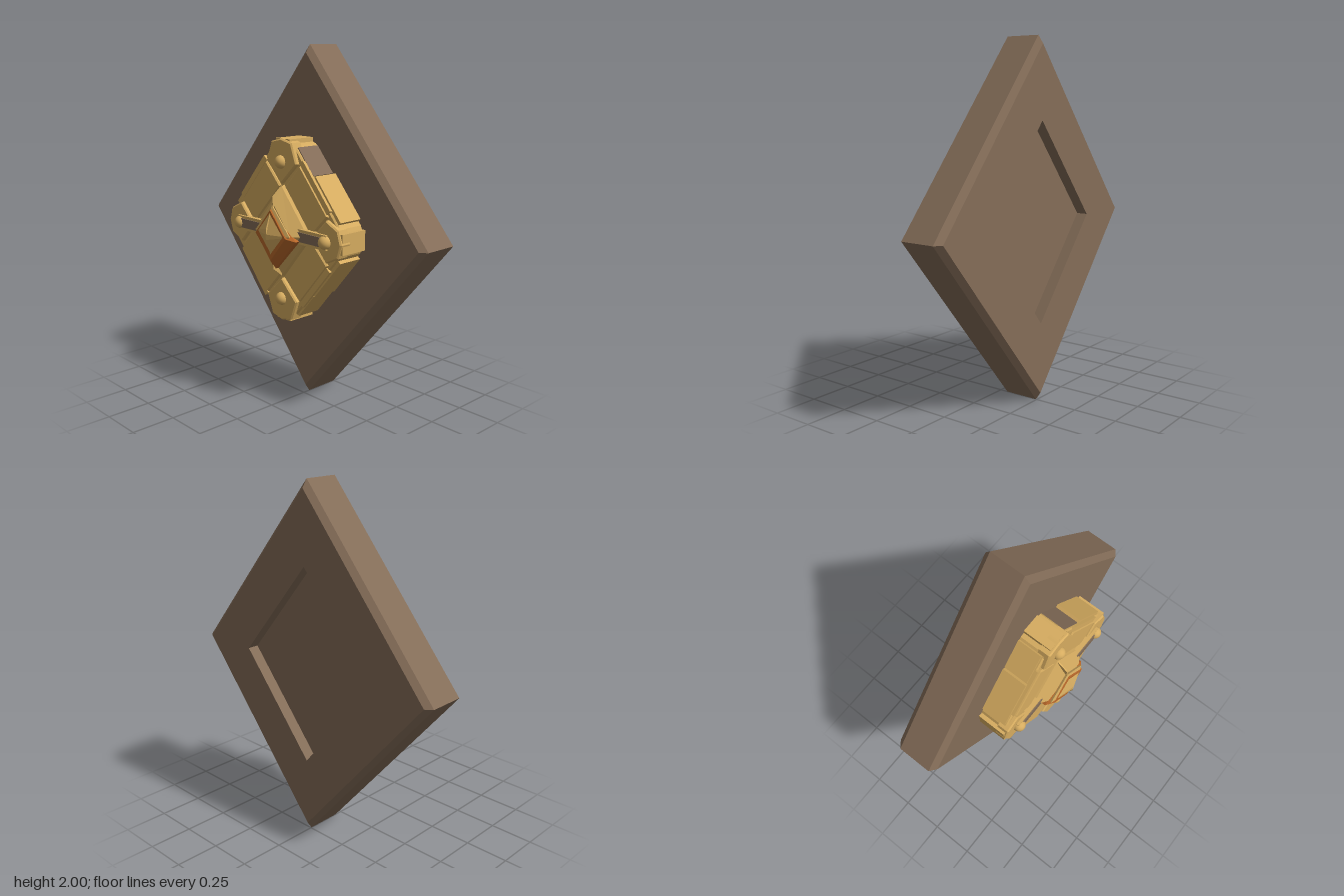
import * as THREE from 'three';

const mat = (name, color) => {
  const m = new THREE.MeshStandardMaterial({ color });
  m.name = name;
  return m;
};

// Joins convex rings of [points, z], listed front to back, into a flat-faced solid
function loft(rings) {
  const pos = [];
  const at = (r, i) => {
    const [pts, z] = rings[r], p = pts[i % pts.length];
    return [p[0], p[1], z];
  };
  const n = rings[0][0].length, last = rings.length - 1;
  for (let r = 0; r < last; r++) {
    for (let i = 0; i < n; i++) {
      const a = at(r, i), b = at(r + 1, i), c = at(r + 1, i + 1), d = at(r, i + 1);
      pos.push(...a, ...b, ...c, ...a, ...c, ...d);
    }
  }
  for (let i = 1; i < n - 1; i++) {
    pos.push(...at(0, 0), ...at(0, i), ...at(0, i + 1));
    pos.push(...at(last, 0), ...at(last, i + 1), ...at(last, i));
  }
  const g = new THREE.BufferGeometry();
  g.setAttribute('position', new THREE.Float32BufferAttribute(pos, 3));
  g.computeVertexNormals();
  return g;
}

const diamond = (w, h, dy = 0) => [[w, dy], [0, h + dy], [-w, dy], [0, dy - h]];

// Mirrors a polygon while keeping its corners counter-clockwise
const flip = (pts, sx, sy) => {
  const out = pts.map(([x, y]) => [x * sx, y * sy]);
  return sx * sy < 0 ? out.reverse() : out;
};

// Plate with a small chamfer around its front face
function slab(pts, back, front, chamfer = 0.008) {
  const cx = pts.reduce((s, p) => s + p[0], 0) / pts.length;
  const cy = pts.reduce((s, p) => s + p[1], 0) / pts.length;
  const inner = pts.map(([x, y]) => {
    const k = 1 - chamfer / Math.hypot(x - cx, y - cy);
    return [cx + (x - cx) * k, cy + (y - cy) * k];
  });
  return loft([[inner, front], [pts, front - chamfer], [pts, back]]);
}

export function createModel() {
  const root = new THREE.Group();
  root.name = 'diamondWallOrnament';
  const body = new THREE.Group();
  body.name = 'ornament';
  body.position.y = 1;
  root.add(body);

  const brown = mat('brown', 0x846d58);
  const gold = mat('gold', 0xd6ac60);
  const amber = mat('amber', 0xb9682a);

  const add = (name, geo, material, x = 0, y = 0, z = 0) => {
    const m = new THREE.Mesh(geo, material);
    m.name = name;
    m.position.set(x, y, z);
    body.add(m);
    return m;
  };

  // Backing plate: chamfered diamond with a shallow recess in its back
  const plateRings = [[0.955, -0.015], [1, -0.045], [1, -0.245], [0.955, -0.275], [0.555, -0.275], [0.555, -0.21]];
  add('backPlate', loft(plateRings.map(([s, z]) => [diamond(0.845 * s, s), z])), brown);

  // Housing with clipped corners
  const quarter = [[0.45, 0], [0.42, 0.075], [0.08, 0.475], [0, 0.5]];
  const outline = [
    ...quarter.slice(0, 3), ...quarter.slice(1).reverse().map(([x, y]) => [-x, y]).slice(0),
    [-0.45, 0], ...quarter.slice(1, 3).map(([x, y]) => [-x, -y]), [0, -0.5],
    [0.08, -0.475], [0.42, -0.075]];
  add('housing', slab(outline, -0.02, 0.145), gold);

  // Panels fixed to the four slanted sides, from fraction t0 to t1 along each side
  const sidePanel = (name, sx, sy, t0, t1, out, z0, z1, material) => {
    const dx = 0.34, dy = -0.4, len = Math.hypot(dx, dy), t = (t0 + t1) / 2;
    const nx = 0.762, ny = 0.648, off = out / 2 - 0.01;
    const geo = new THREE.BoxGeometry((t1 - t0) * len, out + 0.02, z1 - z0);
    const m = add(name, geo, material,
      sx * (0.08 + dx * t + nx * off), sy * (0.475 + dy * t + ny * off), (z0 + z1) / 2);
    m.rotation.z = Math.atan2(sy * dy, sx * dx);
  };
  for (const sx of [1, -1]) {
    for (const sy of [1, -1]) {
      const open = sx > 0 && sy > 0;
      sidePanel('upperSidePanel', sx, sy, 0.03, 0.38, open ? 0.005 : 0.012, -0.015, 0.13, open ? brown : gold);
      sidePanel('sidePanel', sx, sy, 0.4, 0.95, 0.02, -0.015, 0.135, gold);
      sidePanel('sideRim', sx, sy, 0.2, 0.8, 0.012, 0.138, 0.155, gold);
      // Front panels between the corner caps
      const panel = [[0.02, 0.25], [0.235, 0.02], [0.345, 0.13], [0.135, 0.375]];
      add('frontPanel', slab(flip(panel, sx, sy), 0.14, 0.16), gold);
    }
  }

  // Corner caps with round rivets
  const topCap = [[0, 0.265], [0.12, 0.38], [0.08, 0.49], [0, 0.51], [-0.08, 0.49], [-0.12, 0.38]];
  const sideCap = [[0.24, 0], [0.345, -0.115], [0.43, -0.075], [0.455, 0], [0.43, 0.075], [0.345, 0.115]];
  const rivet = new THREE.SphereGeometry(0.037, 20, 14);
  for (const s of [1, -1]) {
    add('verticalCornerCap', slab(flip(topCap, 1, s), 0.1, 0.17), gold);
    add('sideCornerCap', slab(flip(sideCap, s, 1), 0.1, 0.17), gold);
    // Corner guards running back along the tips
    add('verticalCornerGuard', new THREE.BoxGeometry(0.11, 0.03, 0.17), gold, 0, s * 0.492, 0.07);
    add('sideCornerGuard', new THREE.BoxGeometry(0.03, 0.11, 0.17), gold, s * 0.437, 0, 0.07);
    add('verticalRivet', rivet, gold, 0, s * 0.383, 0.167);
    add('sideRivet', rivet, gold, s * 0.345, 0, 0.175);
    // Arms reaching from the side rivets to the centre
    add('armFrame', new THREE.BoxGeometry(0.25, 0.082, 0.03), gold, s * 0.235, 0, 0.17);
    add('armInlay', new THREE.BoxGeometry(0.25, 0.052, 0.008), brown, s * 0.235, 0, 0.187);
  }

  // Centre boss: stepped pyramid, amber gem and pointed cap
  add('bossBase', loft([[diamond(0.13, 0.16), 0.225], [diamond(0.21, 0.25), 0.165], [diamond(0.22, 0.26), 0.14]]), gold);
  add('gem', loft([[diamond(0.12, 0.14, -0.01), 0.25], [diamond(0.165, 0.18, -0.025), 0.215], [diamond(0.165, 0.18, -0.025), 0.17]]), amber);
  add('bossCap', loft([[diamond(0.004, 0.03), 0.28], [diamond(0.14, 0.155), 0.236], [diamond(0.13, 0.145), 0.22]]), gold);
  // Narrow ridges along the vertical axis of the boss
  for (const s of [1, -1]) {
    const ridge = flip([[-0.008, 0.13], [0.008, 0.13], [0.004, 0.25], [-0.004, 0.25]], 1, s);
    const top = flip([[-0.004, 0.13], [0.004, 0.13], [0.003, 0.2], [-0.003, 0.2]], 1, s);
    add('bossRidge', loft([[top, 0.232], [ridge, 0.17]]), gold);
  }
  return root;
}
